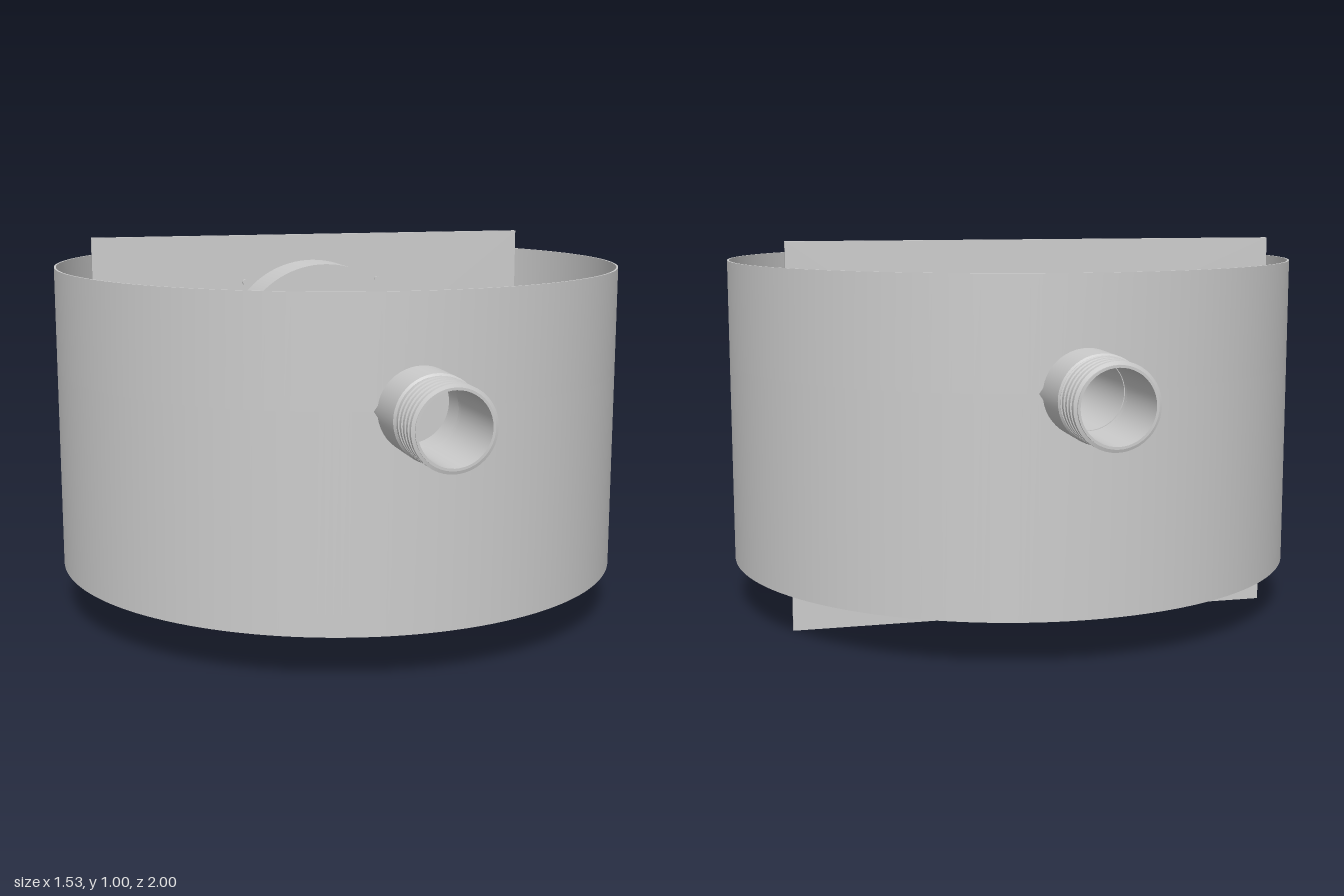
import * as THREE from 'three';
import { toCreasedNormals } from 'three/addons/utils/BufferGeometryUtils.js';

const AXIS_Y = 0.66;   // height of the pipe run
const mat = new THREE.MeshStandardMaterial({ color: 0xcccccc, side: THREE.DoubleSide });

function add(parent, name, geometry) {
  const mesh = new THREE.Mesh(toCreasedNormals(geometry, 0.6), mat);
  mesh.name = name;
  parent.add(mesh);
  return mesh;
}

// Half of the chamber wall (below or above the pipe axis), notched around both pipe holes
function wallHalf(radius, edgeY) {
  const geo = new THREE.PlaneGeometry(1, 1, 256, 1);
  const p = geo.attributes.position;
  const up = edgeY > AXIS_Y;
  for (let i = 0; i < p.count; i++) {
    const a = (p.getX(i) + 0.5) * Math.PI * 2;
    const x = Math.sin(a) * radius;
    const notch = Math.sqrt(Math.max(0, 0.098 ** 2 - x * x));
    const atTop = p.getY(i) > 0;
    const y = atTop === up ? edgeY : AXIS_Y + (up ? notch : -notch);
    p.setXYZ(i, x, y, Math.cos(a) * radius);
  }
  geo.computeVertexNormals();
  return geo;
}

// Closed profile of [radius, z] points turned around the pipe axis
function turned(points) {
  const pts = [...points, points[0]].map(([r, z]) => new THREE.Vector2(r, z));
  return new THREE.LatheGeometry(pts, 48).rotateX(Math.PI / 2).translate(0, AXIS_Y, 0);
}

// Ribbed pipe from z0 to z1
function ribbedPipe(z0, z1) {
  const n = Math.round((z1 - z0) / 0.0245), pitch = (z1 - z0) / n;
  const pts = [[0.086, z0]];
  for (let i = 0; i < n; i++) {
    const z = z0 + i * pitch;
    pts.push([0.092, z], [0.092, z + pitch * 0.2], [0.1, z + pitch * 0.3],
      [0.1, z + pitch * 0.8], [0.092, z + pitch * 0.9]);
  }
  pts.push([0.092, z1], [0.086, z1]);
  return turned(pts);
}

// Socket sleeve with a stop ring inside
function coupling(z0, z1) {
  const m = (z0 + z1) / 2, c = 0.006;
  return turned([[0.099, z0], [0.104, z0 + c], [0.104, z1 - c], [0.099, z1],
    [0.096, z1], [0.096, m + 0.008], [0.087, m + 0.008], [0.087, m - 0.008], [0.096, m - 0.008], [0.096, z0]]);
}

// Snail outline: round top, right side straight down, left side dropping from the curl
function snail(r, left, bottom) {
  const end = Math.PI + Math.acos(-left / r);
  const pts = [new THREE.Vector2(r, bottom)];
  for (let i = 0; i <= 56; i++) {
    const a = end * i / 56;
    pts.push(new THREE.Vector2(Math.cos(a) * r, AXIS_Y + Math.sin(a) * r));
  }
  pts.push(new THREE.Vector2(left, bottom));
  return pts;
}

function extrude(shape, depth, z) {
  return new THREE.ExtrudeGeometry(shape, { depth, bevelEnabled: false, curveSegments: 40 }).translate(0, 0, z);
}

export function createModel() {
  const model = new THREE.Group();
  model.name = 'flowControlChamber';

  // Chamber wall, open at top and bottom
  const chamber = new THREE.Group();
  chamber.name = 'chamber';
  model.add(chamber);
  for (const y of [0.12, 0.935]) {
    add(chamber, 'outerWall', wallHalf(0.765, y));
    add(chamber, 'innerWall', wallHalf(0.76, y));
    add(chamber, 'wallRim', new THREE.RingGeometry(0.76, 0.765, 128).rotateX(-Math.PI / 2).translate(0, y, 0));
  }

  // Dividing plate with the outlet hole
  const plate = new THREE.Shape([[-0.64, 0], [0.64, 0], [0.64, 0.995], [-0.64, 0.995]]
    .map(([x, y]) => new THREE.Vector2(x, y)));
  plate.holes.push(new THREE.Path().absarc(0, AXIS_Y, 0.086, 0, Math.PI * 2, true));
  add(model, 'dividingPlate', extrude(plate, 0.012, -0.294));

  // Pipes and couplings
  const pipes = new THREE.Group();
  pipes.name = 'pipes';
  model.add(pipes);
  add(pipes, 'inletCoupling', coupling(0.68, 0.885));
  add(pipes, 'inletPipe', ribbedPipe(0.79, 1));
  add(pipes, 'outletCoupling', coupling(-0.89, -0.68));
  add(pipes, 'outletPipe', ribbedPipe(-1, -0.796));
  add(pipes, 'innerOutletPipe', ribbedPipe(-0.774, -0.29));

  // Vortex housing, open at its lower mouth
  const housing = new THREE.Group();
  housing.name = 'vortexHousing';
  model.add(housing);
  const outer = snail(0.26, -0.205, 0.38), inner = snail(0.253, -0.198, 0.38);
  add(housing, 'housingWall', extrude(new THREE.Shape([...outer, ...inner.reverse()]), 0.155, -0.284));
  add(housing, 'housingCover', extrude(new THREE.Shape(outer), 0.006, -0.131));

  // Curved handle on the cover
  const curl = new THREE.CatmullRomCurve3([[-0.022, 0.692], [0.015, 0.69], [0.034, 0.66], [0.026, 0.618], [-0.012, 0.578]]
    .map(([x, y]) => new THREE.Vector3(x, y, -0.124)));
  add(housing, 'coverHandle', new THREE.TubeGeometry(curl, 24, 0.004, 8));

  // Fixing bolts around the housing
  for (const [x, y] of [[0.2, 0.86], [-0.275, 0.6], [-0.2, 0.86], [0.275, 0.46]]) {
    add(housing, 'fixingBolt', new THREE.CylinderGeometry(0.008, 0.008, 0.014, 12)
      .rotateX(Math.PI / 2).translate(x, y, -0.277));
  }
  return model;
}
